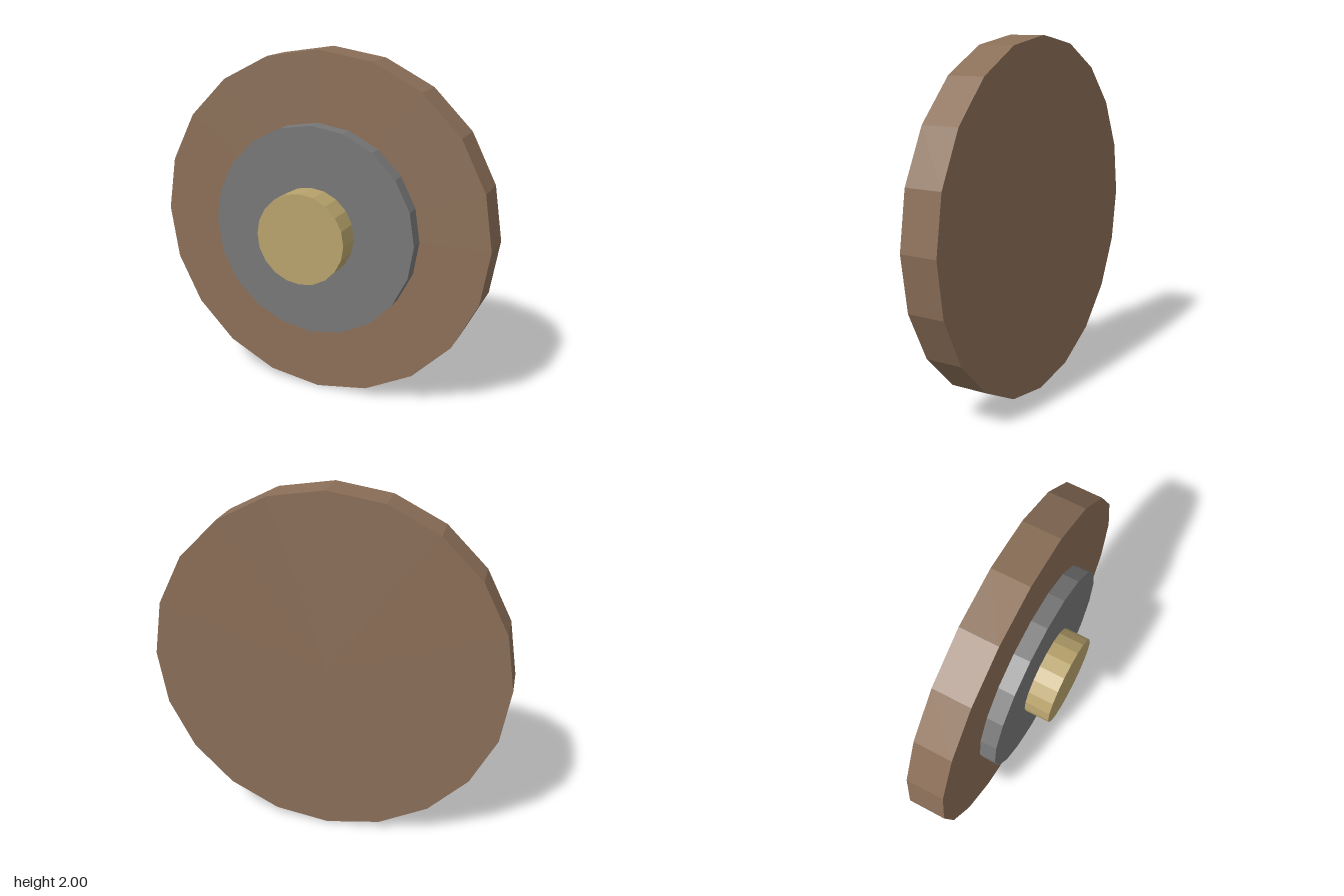
import * as THREE from 'three';

const SIDES = 20;

// Flat-shaded disc facing +z, spanning zBack to zFront, centred at y = 1
function disc(name, radius, zBack, zFront, color) {
  const geometry = new THREE.CylinderGeometry(radius, radius, zFront - zBack, SIDES);
  geometry.rotateX(Math.PI / 2);
  const material = new THREE.MeshStandardMaterial({ color, flatShading: true });
  const mesh = new THREE.Mesh(geometry, material);
  mesh.name = name;
  mesh.position.set(0, 1, (zBack + zFront) / 2);
  return mesh;
}

export function createModel() {
  const group = new THREE.Group();
  group.name = 'steppedRoundShield';

  group.add(
    disc('woodenDisc', 1.0, -0.225, -0.015, 0x8b6f58), // broad backing board
    disc('metalPlate', 0.605, -0.015, 0.078, 0x777777), // middle plate
    disc('brassBoss', 0.26, 0.078, 0.225, 0xb8a36c) // raised centre
  );
  return group;
}
